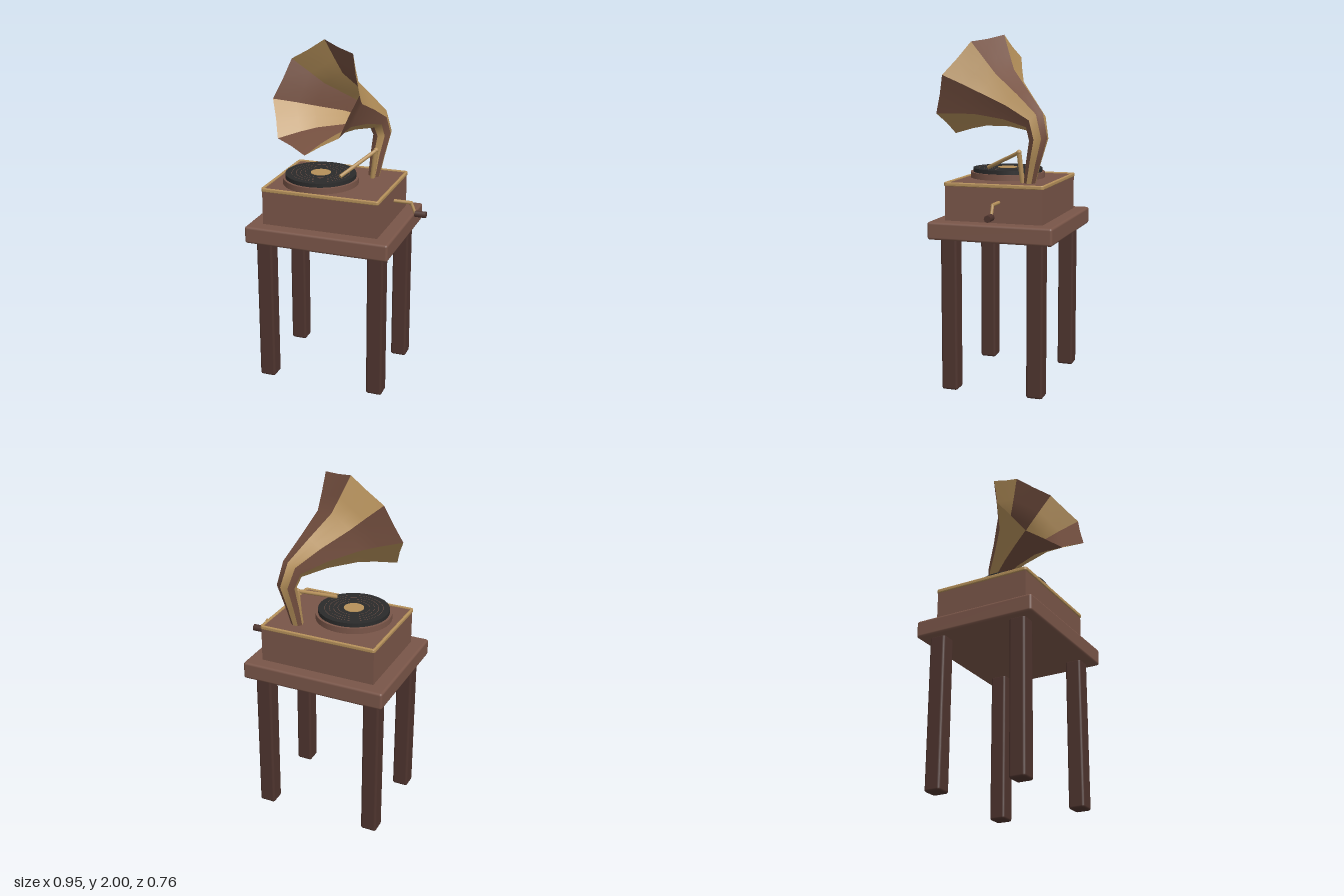
import * as THREE from 'three';
import { RoundedBoxGeometry } from 'three/addons/geometries/RoundedBoxGeometry.js';

const mat = (name, color, extra = {}) => {
  const m = new THREE.MeshStandardMaterial({ color, ...extra });
  m.name = name;
  return m;
};

export function createModel() {
  const wood = mat('wood', 0x795548);
  const darkWood = mat('dark wood', 0x4e342e);
  const brass = mat('brass', 0xb5905a, { side: THREE.DoubleSide });
  const hornBrown = mat('horn brown', 0x755040, { side: THREE.DoubleSide });
  const vinyl = mat('vinyl', 0x2b2b2b);

  const root = new THREE.Group();
  root.name = 'gramophone';
  const add = (name, geo, material, x = 0, y = 0, z = 0) => {
    const m = new THREE.Mesh(geo, material);
    m.name = name;
    m.position.set(x, y, z);
    root.add(m);
    return m;
  };
  // Straight round bar between two points
  const bar = (name, a, b, r, material, sides = 10) => {
    const A = new THREE.Vector3(...a), B = new THREE.Vector3(...b);
    const dir = B.clone().sub(A);
    const m = add(name, new THREE.CylinderGeometry(r, r, dir.length(), sides), material);
    m.position.copy(A).add(B).multiplyScalar(0.5);
    m.quaternion.setFromUnitVectors(new THREE.Vector3(0, 1, 0), dir.normalize());
    return m;
  };

  // Table
  const cx = -0.055, cz = -0.02;
  add('tableTop', new RoundedBoxGeometry(0.845, 0.1, 0.72, 2, 0.014), wood, cx, 0.92, cz);
  for (const sx of [-1, 1]) for (const sz of [-1, 1])
    add('tableLeg', new RoundedBoxGeometry(0.095, 0.88, 0.095, 2, 0.014), darkWood, cx + sx * 0.3325, 0.44, cz + sz * 0.25);

  // Cabinet with brass trim around its top edge
  add('cabinet', new THREE.BoxGeometry(0.68, 0.21, 0.565), wood, cx, 1.073, cz);
  const rectPath = (path, w, h, r) => {
    path.absarc(w - r, h - r, r, 0, Math.PI / 2);
    path.absarc(-w + r, h - r, r, Math.PI / 2, Math.PI);
    path.absarc(-w + r, -h + r, r, Math.PI, 1.5 * Math.PI);
    path.absarc(w - r, -h + r, r, 1.5 * Math.PI, 2 * Math.PI);
    path.closePath();
    return path;
  };
  const trimShape = rectPath(new THREE.Shape(), 0.342, 0.285, 0.012);
  trimShape.holes.push(rectPath(new THREE.Path(), 0.336, 0.279, 0.01));
  const trim = new THREE.ExtrudeGeometry(trimShape, {
    depth: 0.012, bevelEnabled: true, bevelSize: 0.005, bevelThickness: 0.005, bevelSegments: 2, curveSegments: 4,
  });
  trim.rotateX(-Math.PI / 2);
  add('cabinetTrim', trim, brass, cx, 1.169, cz);

  // Turntable, record, grooves and label
  const rx = -0.13, rz = 0.03;
  add('platter', new THREE.CylinderGeometry(0.218, 0.218, 0.036, 40), wood, rx, 1.194, rz);
  add('record', new THREE.CylinderGeometry(0.203, 0.203, 0.024, 40), vinyl, rx, 1.223, rz);
  for (const r of [0.09, 0.115, 0.14, 0.165]) {
    const groove = new THREE.RingGeometry(r, r + 0.002, 40);
    groove.rotateX(-Math.PI / 2);
    add('groove', groove, wood, rx, 1.2358, rz);
  }
  add('recordLabel', new THREE.CylinderGeometry(0.058, 0.058, 0.004, 24), brass, rx, 1.236, rz);

  // Tone arm
  bar('toneArmPost', [0.125, 1.175, -0.14], [0.148, 1.352, -0.126], 0.014, brass);
  bar('toneArm', [0.15, 1.35, -0.126], [0.012, 1.247, 0.1], 0.011, brass);
  add('toneArmJoint', new THREE.SphereGeometry(0.015, 10, 8), brass, 0.149, 1.351, -0.126);

  // Crank
  bar('crankShaft', [0.28, 1.085, -0.053], [0.39, 1.085, -0.053], 0.01, brass);
  bar('crankArm', [0.385, 1.088, -0.053], [0.412, 1.022, -0.053], 0.009, brass);
  bar('crankHandle', [0.41, 1.022, -0.053], [0.475, 1.022, -0.053], 0.02, darkWood, 8);

  // Horn: eight panels swept along a curved neck lying in one vertical plane.
  // Stations: distance along the plane, height, radius, tilt in degrees, side shift
  const stations = [
    [-0.432, 1.175, 0.034, 108, 0.03],
    [-0.462, 1.3, 0.043, 102, 0.03],
    [-0.5, 1.425, 0.055, 80, 0.03],
    [-0.468, 1.52, 0.066, 38, 0.02],
    [-0.33, 1.585, 0.113, 28, 0.01],
    [-0.17, 1.643, 0.18, 25, 0],
    [-0.095, 1.676, 0.24, 25.5, 0],
    [0, 1.715, 0.323, 25.5, 0],
  ];
  const along = new THREE.Vector3(-0.449, 0, 0.894);
  const side = new THREE.Vector3(0.894, 0, 0.449);
  const twist = -0.207;
  const hornPoint = ([d, y, r, tilt, shift], angle, scale) => {
    const t = THREE.MathUtils.degToRad(tilt);
    const a = angle + twist, R = r * scale;
    const up = Math.cos(a) * R;
    return new THREE.Vector3(-0.1, y + up * Math.cos(t), 0.193)
      .addScaledVector(along, d - up * Math.sin(t))
      .addScaledVector(side, shift + Math.sin(a) * R);
  };
  const horn = new THREE.Group();
  horn.name = 'horn';
  root.add(horn);
  for (let k = 0; k < 8; k++) {
    const pos = [], idx = [];
    stations.forEach((s, i) => {
      for (let j = 0; j < 3; j++) {
        // The middle of each panel dips slightly, giving a scalloped rim
        const scale = j === 1 ? 0.924 - 0.015 * (i / 7) : 1;
        pos.push(...hornPoint(s, (k + j / 2) * Math.PI / 4, scale).toArray());
        if (i < stations.length - 1 && j < 2) {
          const a = i * 3 + j;
          idx.push(a, a + 1, a + 3, a + 1, a + 4, a + 3);
        }
      }
    });
    const geo = new THREE.BufferGeometry();
    geo.setAttribute('position', new THREE.Float32BufferAttribute(pos, 3));
    geo.setIndex(idx);
    geo.computeVertexNormals();
    const panel = new THREE.Mesh(geo, k % 2 ? brass : hornBrown);
    panel.name = 'hornPanel';
    horn.add(panel);
  }
  return root;
}
